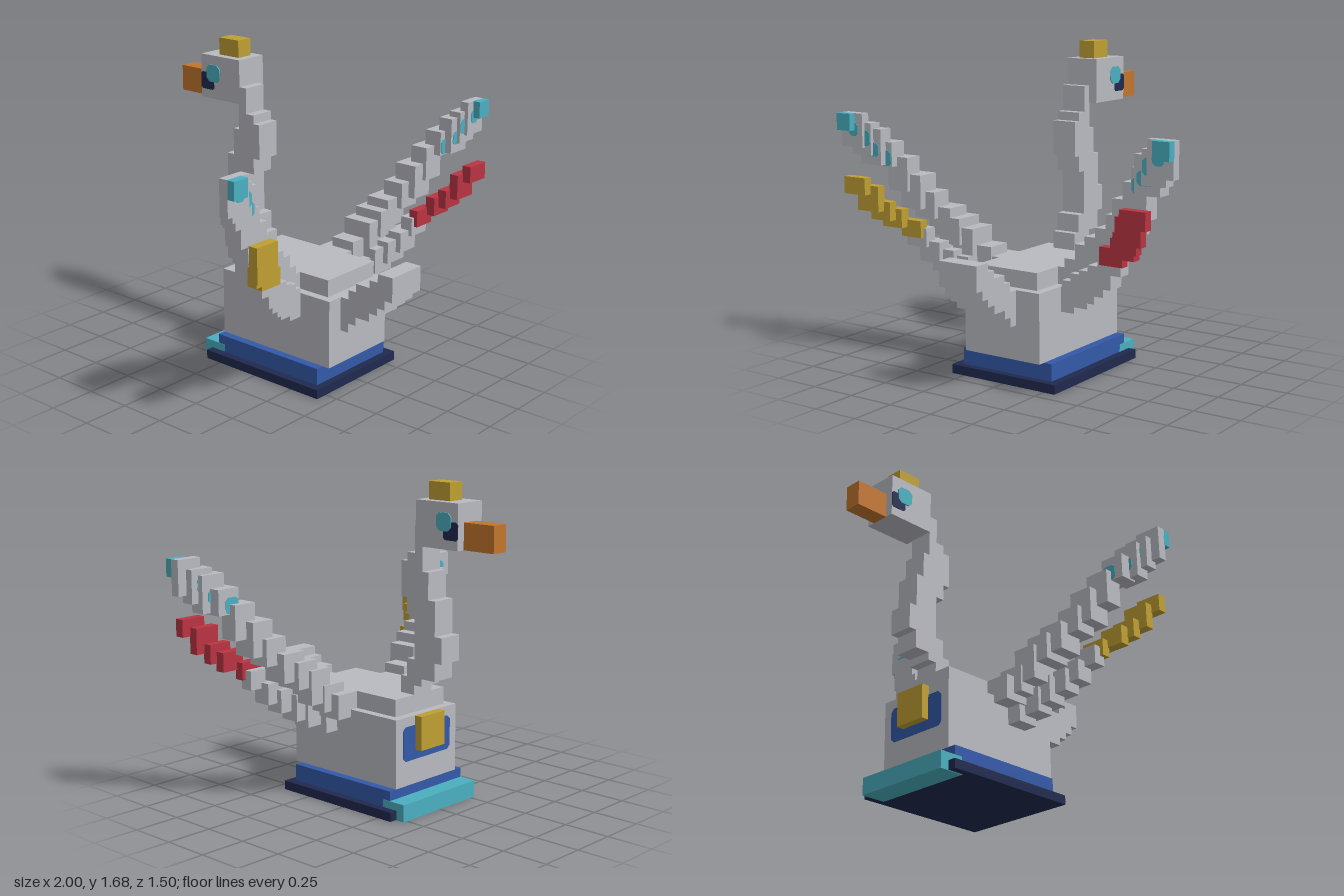
import * as THREE from 'three';

const flat = (name, color) => {
  const m = new THREE.MeshStandardMaterial({ color });
  m.name = name;
  return m;
};

export function createModel() {
  const gray = flat('pale gray', 0xb9bac1);
  const blue = flat('blue', 0x3359a8);
  const navy = flat('navy', 0x20294f);
  const teal = flat('teal', 0x4aafc0);
  const gold = flat('gold', 0xbf9f33);
  const orange = flat('orange', 0xc2752d);
  const red = flat('red', 0xb93442);
  const model = new THREE.Group();
  model.name = 'blockBird';

  // Box given by its two limits on each axis
  function box(name, mat, [x0, x1, y0, y1, z0, z1], parent = model) {
    const mesh = new THREE.Mesh(new THREE.BoxGeometry(x1 - x0, y1 - y0, z1 - z0), mat);
    mesh.position.set((x0 + x1) / 2, (y0 + y1) / 2, (z0 + z1) / 2);
    mesh.name = name;
    parent.add(mesh);
    return mesh;
  }

  // Thin plate in the XY plane with clipped corners
  function plate(name, mat, w, h, cut, parent = model) {
    const a = w / 2, b = h / 2;
    const shape = new THREE.Shape([
      [a - cut, -b], [a, cut - b], [a, b - cut], [a - cut, b],
      [cut - a, b], [-a, b - cut], [-a, cut - b], [cut - a, -b],
    ].map(([x, y]) => new THREE.Vector2(x, y)));
    const geo = new THREE.ExtrudeGeometry(shape, { depth: 0.006, bevelEnabled: false });
    geo.translate(0, 0, -0.003);
    const mesh = new THREE.Mesh(geo, mat);
    mesh.name = name;
    parent.add(mesh);
    return mesh;
  }

  function group(name) {
    const g = new THREE.Group();
    g.name = name;
    model.add(g);
    return g;
  }

  // Stepped base
  box('basePlate', navy, [-0.32, 0.32, 0.002, 0.05, -0.34, 0.43]);
  box('baseStep', blue, [-0.275, 0.275, 0.05, 0.14, -0.295, 0.39]);
  box('baseLip', teal, [-0.277, 0.277, 0, 0.09, -0.39, -0.25]);

  // Body, back and chest badge
  box('body', gray, [-0.23, 0.23, 0.14, 0.5, -0.295, 0.43]);
  box('back', gray, [-0.185, 0.185, 0.5, 0.59, -0.25, 0.385]);
  plate('chestPanel', blue, 0.36, 0.18, 0.02).position.set(0, 0.36, -0.296);
  box('chestBlock', gold, [-0.09, 0.09, 0.32, 0.499, -0.34, -0.25]);

  // Curved neck: bottom, top, front z, back z of each slice
  const neck = group('neck');
  [
    [0.50, 0.64, -0.25, -0.16], [0.64, 0.68, -0.30, -0.16],
    [0.68, 0.73, -0.385, -0.20], [0.73, 0.775, -0.385, -0.20],
    [0.775, 0.82, -0.43, -0.25], [0.82, 0.91, -0.43, -0.25],
    [0.91, 1.005, -0.385, -0.25], [1.005, 1.09, -0.385, -0.20],
    [1.09, 1.23, -0.34, -0.16], [1.23, 1.275, -0.30, -0.16],
    [1.275, 1.32, -0.30, -0.20], [1.32, 1.455, -0.30, -0.25],
  ].forEach(([y0, y1, z0, z1]) => box('neckSlice', gray, [-0.09, 0.045, y0, y1, z0, z1], neck));

  // Head, crest and beak
  box('head', gray, [-0.09, 0.09, 1.365, 1.595, -0.565, -0.295]);
  box('crest', gold, [-0.047, 0.045, 1.595, 1.685, -0.475, -0.34]);
  box('beak', orange, [-0.047, 0.045, 1.365, 1.5, -0.75, -0.565]);
  for (const s of [-1, 1]) {
    const patch = plate('cheekPatch', navy, 0.09, 0.09, 0.01);
    patch.position.set(s * 0.09, 1.457, -0.52);
    patch.rotation.y = Math.PI / 2;
    const eye = plate('eye', teal, 0.093, 0.09, 0.02);
    eye.position.set(s * 0.093, 1.5, -0.478);
    eye.rotation.y = Math.PI / 2;
  }

  // Upturned tail: near z, far z, bottom, top
  const tail = group('tail');
  [
    [0.40, 0.48, 0.32, 0.50], [0.48, 0.525, 0.37, 0.55],
    [0.525, 0.61, 0.415, 0.595], [0.61, 0.66, 0.46, 0.635],
    [0.66, 0.705, 0.50, 0.68], [0.705, 0.75, 0.55, 0.68],
  ].forEach(([z0, z1, y0, y1]) => box('tailStep', gray, [-0.14, 0.09, y0, y1, z0, z1], tail));

  // Raised wings, listed root to tip as boxes on the +x side
  const upper = [
    [0.18, 0.32, 0.46, 0.59, 0.02, 0.20], [0.23, 0.37, 0.50, 0.64, 0.07, 0.21],
    [0.32, 0.45, 0.55, 0.73, 0.08, 0.25], [0.39, 0.52, 0.64, 0.78, 0.10, 0.27],
    [0.45, 0.59, 0.68, 0.83, 0.13, 0.27], [0.53, 0.66, 0.77, 0.91, 0.18, 0.30],
    [0.59, 0.72, 0.82, 1.00, 0.21, 0.34], [0.66, 0.79, 0.91, 1.09, 0.26, 0.36],
    [0.73, 0.86, 1.04, 1.17, 0.30, 0.40], [0.77, 0.91, 1.05, 1.24, 0.36, 0.44],
    [0.82, 0.95, 1.10, 1.27, 0.39, 0.46], [0.86, 1.00, 1.14, 1.32, 0.43, 0.48],
  ];
  const lower = [
    [0.22, 0.31, 0.37, 0.50, 0.12, 0.24], [0.25, 0.40, 0.41, 0.54, 0.16, 0.26],
    [0.32, 0.46, 0.45, 0.59, 0.18, 0.29], [0.39, 0.53, 0.50, 0.62, 0.22, 0.32],
    [0.46, 0.59, 0.55, 0.66, 0.25, 0.35], [0.53, 0.66, 0.63, 0.73, 0.30, 0.37],
  ];
  const feathers = [
    [0.55, 0.68, 0.68, 0.77, 0.34, 0.39], [0.64, 0.77, 0.73, 0.83, 0.38, 0.435],
    [0.68, 0.81, 0.77, 0.87, 0.43, 0.48], [0.72, 0.86, 0.82, 0.955, 0.475, 0.525],
    [0.77, 0.91, 0.91, 1.00, 0.52, 0.57],
  ];
  // Stripe pieces: centre x, centre y, width, height, back z, front z
  const stripes = [
    [0.775, 1.085, 0.08, 0.08, 0.40, 0.30], [0.83, 1.13, 0.09, 0.07, 0.44, 0.36],
    [0.87, 1.19, 0.09, 0.08, 0.46, 0.39], [0.92, 1.235, 0.06, 0.07, 0.48, 0.43],
  ];
  for (const s of [1, -1]) {
    const wing = group(s > 0 ? 'leftWing' : 'rightWing');
    const side = ([x0, x1, ...rest]) => (s > 0 ? [x0, x1, ...rest] : [-x1, -x0, ...rest]);
    upper.forEach((b) => box('upperWingStep', gray, side(b), wing));
    lower.forEach((b) => box('lowerWingStep', gray, side(b), wing));
    feathers.forEach((b) => box('lowerWingTip', s > 0 ? red : gold, side(b), wing));
    box('upperWingTip', teal, side([0.91, 1.0, 1.23, 1.32, 0.475, 0.52]), wing);
    for (const [x, y, w, h, zb, zf] of stripes) {
      plate('wingStripe', teal, w, h, 0.015, wing).position.set(s * x, y, zb);
      plate('wingStripe', teal, w, h, 0.015, wing).position.set(s * x, y, zf);
    }
  }
  return model;
}
